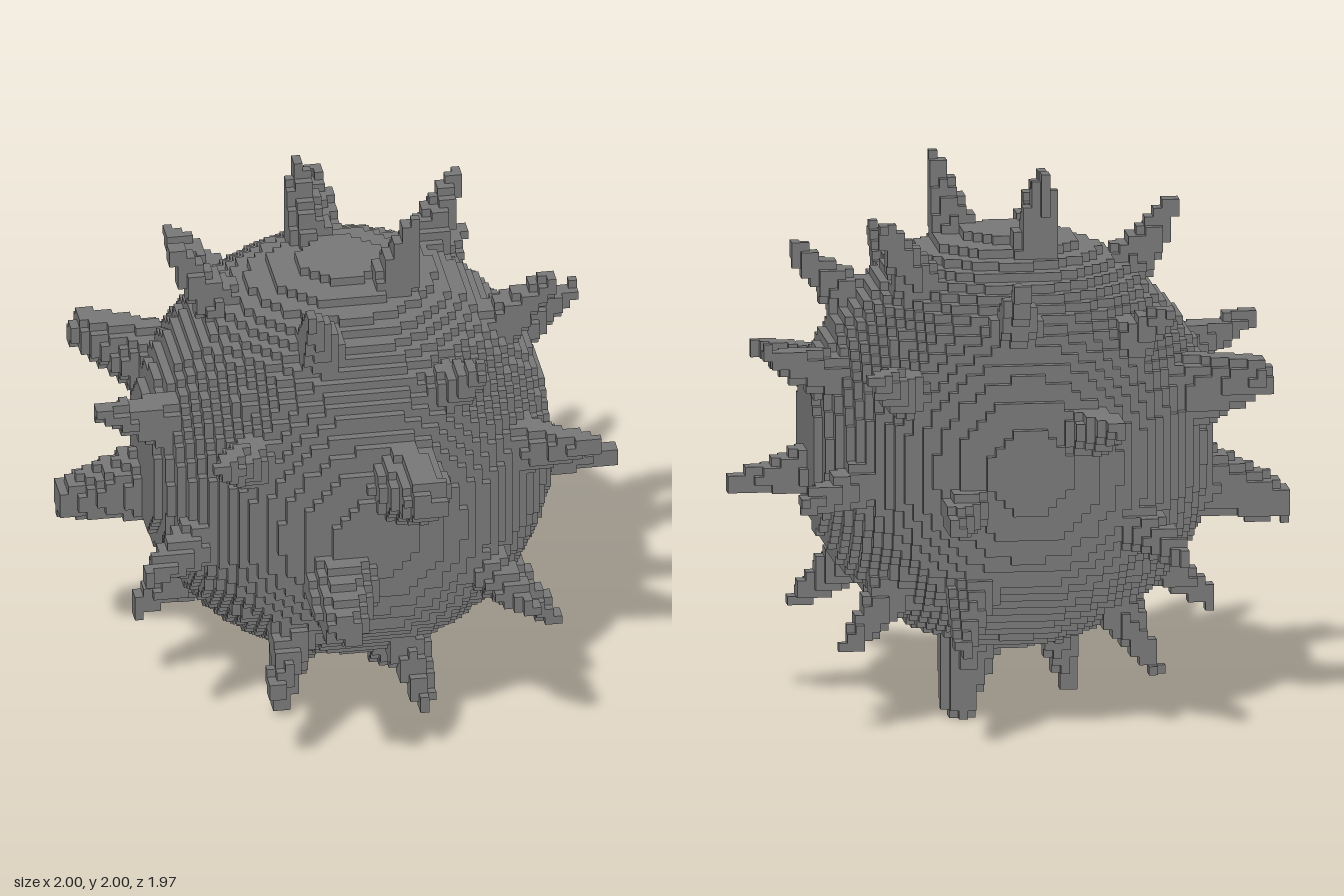
import * as THREE from 'three';

const N = 64;            // voxels per side
const S = 2 / N;         // voxel size
const BODY_RADIUS = 0.75;
const FLAT_X = 0.72;     // the ball is flattened slightly at its two sides
const TIP_RADIUS = 0.026;

// Spike tips, measured from the ball's centre; a fourth number is a blunt tip's radius
const TIPS = [
  // upper spikes
  [0.23, 0.98, 0.2], [-0.11, 0.98, -0.28],
  [-0.61, 0.83, 0], [0.48, 0.83, -0.37], [-0.2, 0.83, 0.57],
  [0.04, 0.67, -0.78], [0.75, 0.67, 0.15], [0.4, 0.63, 0.69], [-0.52, 0.56, -0.63],
  // spikes just above the middle
  [-0.88, 0.29, -0.47, 0.06], [0.9, 0.37, -0.3], [-0.92, 0.35, 0.28], [-0.57, 0.36, 0.78],
  [0.82, 0.22, 0.59], [-0.3, 0.2, -0.97], [0.57, 0.36, -0.79], [0.16, 0.28, 0.98, 0.07],
  // spikes just below the middle
  [0.99, -0.16, 0], [-0.81, -0.16, 0.6], [0.3, -0.17, -0.94],
  [0.57, -0.33, 0.77], [-0.99, -0.24, -0.16, 0.06], [0.8, -0.12, -0.62],
  [-0.16, -0.23, 0.98, 0.07], [-0.56, -0.32, -0.79],
  // lower spikes
  [0.73, -0.65, 0.28], [-0.75, -0.63, 0], [0.25, -0.63, -0.79], [-0.35, -0.65, 0.68],
  [0.62, -0.68, -0.45], [0.21, -0.8, 0.57], [-0.5, -0.8, -0.37],
  [0.19, -0.98, -0.14, 0.05], [-0.25, -0.95, 0.19],
];

// Voxel centre, relative to the ball's centre
const centre = (i) => (i + 0.5) * S - 1;
const key = (i, j, k) => (i * N + j) * N + k;
const inside = (i) => i >= 0 && i < N;

// Fill every voxel whose centre passes the test
function fill(test) {
  const grid = new Uint8Array(N * N * N);
  const p = new THREE.Vector3();
  for (let i = 0; i < N; i++)
    for (let j = 0; j < N; j++)
      for (let k = 0; k < N; k++) {
        p.set(centre(i), centre(j), centre(k));
        if (test(p)) grid[key(i, j, k)] = 1;
      }
  return grid;
}

// Cover the exposed sides of the filled voxels with square faces
function voxelGeometry(grid) {
  const filled = (c) => c.every(inside) && grid[key(...c)] === 1;
  const positions = [], normals = [], index = [];
  for (let i = 0; i < N; i++)
    for (let j = 0; j < N; j++)
      for (let k = 0; k < N; k++) {
        if (!grid[key(i, j, k)]) continue;
        for (let axis = 0; axis < 3; axis++)
          for (const side of [-1, 1]) {
            const next = [i, j, k];
            next[axis] += side;
            if (filled(next)) continue;
            const u = (axis + 1) % 3, v = (axis + 2) % 3;
            const first = positions.length / 3;
            const normal = [0, 0, 0];
            normal[axis] = side;
            for (const [a, b] of [[0, 0], [1, 0], [1, 1], [0, 1]]) {
              const c = [i, j, k];
              if (side > 0) c[axis] += 1;
              c[u] += a;
              c[v] += b;
              positions.push(c[0] * S - 1, c[1] * S, c[2] * S - 1);
              normals.push(...normal);
            }
            const order = side > 0 ? [0, 1, 2, 0, 2, 3] : [0, 2, 1, 0, 3, 2];
            index.push(...order.map((n) => first + n));
          }
      }
  const geometry = new THREE.BufferGeometry();
  geometry.setAttribute('position', new THREE.Float32BufferAttribute(positions, 3));
  geometry.setAttribute('normal', new THREE.Float32BufferAttribute(normals, 3));
  geometry.setIndex(index);
  return geometry;
}

export function createModel() {
  const group = new THREE.Group();
  group.name = 'spikyVoxelBall';

  const spikes = TIPS.map(([x, y, z, tipRadius = TIP_RADIUS]) => {
    const direction = new THREE.Vector3(x, y, z);
    const length = direction.length();
    return { direction: direction.normalize(), length, tipRadius };
  });

  // Round body
  const inBody = (p) => p.length() < BODY_RADIUS && Math.abs(p.x) < FLAT_X;

  // Slender spike, widening evenly towards the body
  const inSpike = (p, { direction, length, tipRadius }) => {
    const t = p.dot(direction);
    if (t < 0.6 || t > length + 0.01) return false;
    const off = Math.sqrt(Math.max(0, p.lengthSq() - t * t));
    return off < tipRadius + 0.23 * (length - t);
  };

  const grid = fill((p) => inBody(p) || (p.length() > 0.6 && spikes.some((s) => inSpike(p, s))));
  const ball = new THREE.Mesh(
    voxelGeometry(grid),
    new THREE.MeshStandardMaterial({ color: 0x777777, flatShading: true }),
  );
  ball.name = 'bodyWithSpikes';
  group.add(ball);
  return group;
}
